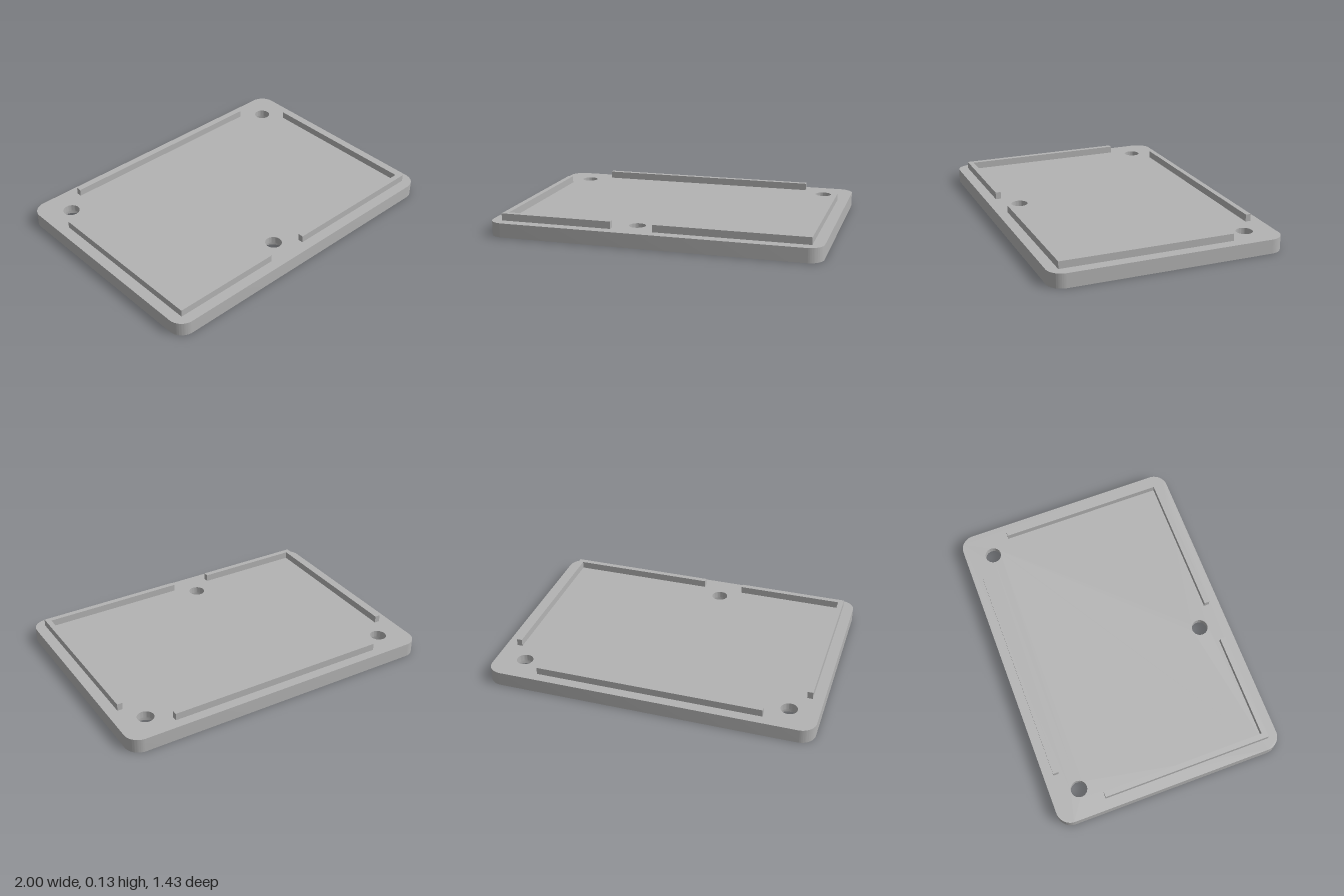
import * as THREE from 'three';
import { toCreasedNormals } from 'three/addons/utils/BufferGeometryUtils.js';

const HALF_X = 1, HALF_Z = 0.713, CORNER = 0.09;
const THICK = 0.087, RIB_H = 0.044;
const HOLE_R = 0.05, BORE_R = 0.085, BORE_DEPTH = 0.045;
const SEG = 24;
const HOLES = [[-0.822, -0.537], [0.822, -0.537], [-0.117, 0.533]];

// Rounded rectangle, optionally pierced by holes; sign maps shape y to z
function plateShape(holeRadius, sign) {
  const s = new THREE.Shape();
  const x = HALF_X - CORNER, z = HALF_Z - CORNER;
  s.absarc(x, z, CORNER, 0, Math.PI / 2);
  s.absarc(-x, z, CORNER, Math.PI / 2, Math.PI);
  s.absarc(-x, -z, CORNER, Math.PI, Math.PI * 1.5);
  s.absarc(x, -z, CORNER, Math.PI * 1.5, Math.PI * 2);
  s.closePath();
  if (holeRadius) {
    for (const [hx, hz] of HOLES) {
      s.holes.push(new THREE.Path().absarc(hx, sign * hz, holeRadius, 0, Math.PI * 2, true));
    }
  }
  return s;
}

// Outer rim only: the side faces of an extruded outline
function rimGeometry() {
  const full = new THREE.ExtrudeGeometry(plateShape(0, 1), { depth: THICK, bevelEnabled: false, curveSegments: SEG });
  const { start, count } = full.groups[1];
  const rim = new THREE.BufferGeometry();
  const pos = full.attributes.position.array.slice(start * 3, (start + count) * 3);
  rim.setAttribute('position', new THREE.BufferAttribute(pos, 3));
  rim.rotateX(-Math.PI / 2);
  return toCreasedNormals(rim, 0.6);
}

// Upright rib from a footprint of [x, z] points
function ribGeometry(points) {
  const shape = new THREE.Shape(points.map(([x, z]) => new THREE.Vector2(x, -z)));
  const g = new THREE.ExtrudeGeometry(shape, { depth: RIB_H, bevelEnabled: false });
  return g.rotateX(-Math.PI / 2).translate(0, THICK, 0);
}

export function createModel() {
  const model = new THREE.Group();
  model.name = 'coverPlate';
  const grey = new THREE.MeshStandardMaterial({ color: 0xb3b3b3 });
  grey.name = 'grey';
  const add = (name, geometry, parent = model) => {
    const mesh = new THREE.Mesh(geometry, grey);
    mesh.name = name;
    parent.add(mesh);
    return mesh;
  };

  // Plate: top with small holes, underside with wider counterbores
  const plate = new THREE.Group();
  plate.name = 'plate';
  model.add(plate);
  add('plateTop', new THREE.ShapeGeometry(plateShape(HOLE_R, -1), SEG)
    .rotateX(-Math.PI / 2).translate(0, THICK, 0), plate);
  add('plateUnderside', new THREE.ShapeGeometry(plateShape(BORE_R, 1), SEG)
    .rotateX(Math.PI / 2), plate);
  add('plateRim', rimGeometry(), plate);

  // Stepped walls of the screw holes
  const profile = [[HOLE_R, THICK], [HOLE_R, BORE_DEPTH], [BORE_R, BORE_DEPTH], [BORE_R, 0]]
    .map(([r, y]) => new THREE.Vector2(r, y));
  const bore = toCreasedNormals(new THREE.LatheGeometry(profile, SEG * 2), 0.6);
  for (const [x, z] of HOLES) add('screwHole', bore, plate).position.set(x, 0, z);

  // Locating ribs: L-shaped at the front corners, straight at the back
  const out = 0.933, inn = 0.9, front = 0.648, frontIn = 0.615, back = -0.407;
  for (const [name, side, end] of [['leftRib', 1, 0.01], ['rightRib', -1, -0.246]]) {
    add(name, ribGeometry([
      [side * out, back], [side * out, front], [end, front],
      [end, frontIn], [side * inn, frontIn], [side * inn, back],
    ]));
  }
  add('backRib', ribGeometry([[-0.692, -0.653], [0.692, -0.653], [0.692, -0.62], [-0.692, -0.62]]));

  return model;
}
